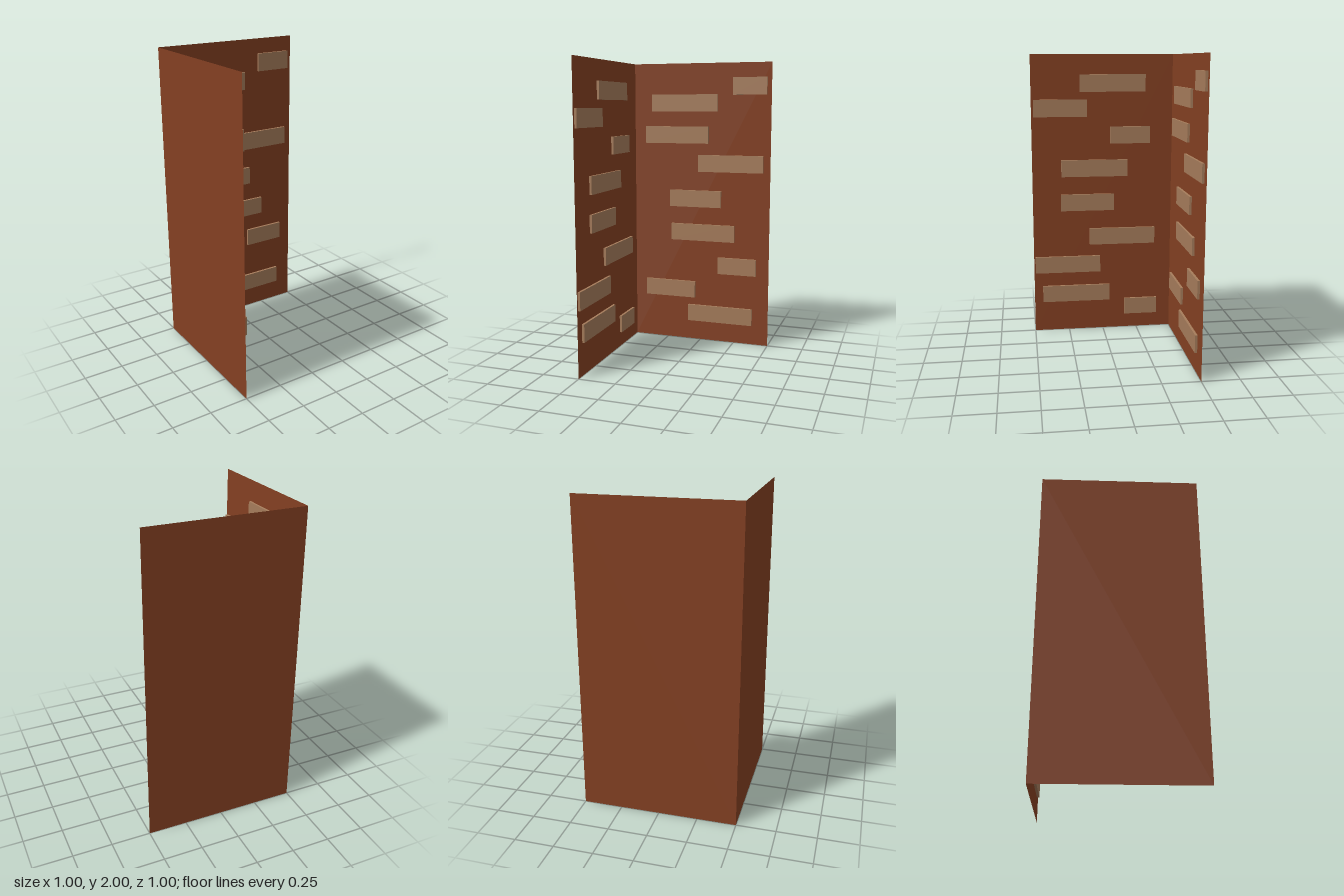
import * as THREE from 'three';

const DEPTH = 0.016;

// Bricks as [left, right, bottom], seen facing each wall
const backBricks = [
  [0.23, 0.47, 1.78], [-0.365, 0.12, 1.665], [-0.415, 0.055, 1.44],
  [-0.02, 0.45, 1.24], [-0.23, 0.15, 0.985], [-0.22, 0.25, 0.74],
  [0.13, 0.41, 0.505], [-0.415, -0.04, 0.315], [-0.09, 0.385, 0.14],
];
const sideBricks = [
  [-0.16, 0.305, 1.743], [-0.485, -0.11, 1.57], [0.055, 0.34, 1.38],
  [-0.295, 0.18, 1.145], [-0.3, 0.08, 0.898], [-0.095, 0.38, 0.645],
  [-0.49, -0.02, 0.44], [-0.44, 0.05, 0.22], [0.16, 0.4, 0.105],
];

export function createModel() {
  const wallMaterial = new THREE.MeshStandardMaterial({ color: 0x844022, side: THREE.DoubleSide });
  wallMaterial.name = 'red brown wall';
  const brickMaterial = new THREE.MeshStandardMaterial({ color: 0xa67c5b });
  brickMaterial.name = 'tan brick';

  // A thin sheet with raised bricks on its inner face
  function makeWall(name, bricks) {
    const group = new THREE.Group();
    group.name = name;
    const sheet = new THREE.Mesh(new THREE.PlaneGeometry(1, 2), wallMaterial);
    sheet.name = 'wallSheet';
    sheet.position.set(0, 1, -0.5);
    group.add(sheet);
    for (const [left, right, bottom] of bricks) {
      const brick = new THREE.Mesh(new THREE.BoxGeometry(right - left, 0.12, DEPTH), brickMaterial);
      brick.name = 'brick';
      // Set just clear of the sheet so the two never share a plane
      brick.position.set((left + right) / 2, bottom + 0.06, -0.499 + DEPTH / 2);
      group.add(brick);
    }
    return group;
  }

  const model = new THREE.Group();
  model.name = 'brickWallCorner';
  const sideWall = makeWall('sideWall', sideBricks);
  sideWall.rotation.y = Math.PI / 2;
  model.add(makeWall('backWall', backBricks), sideWall);
  return model;
}
